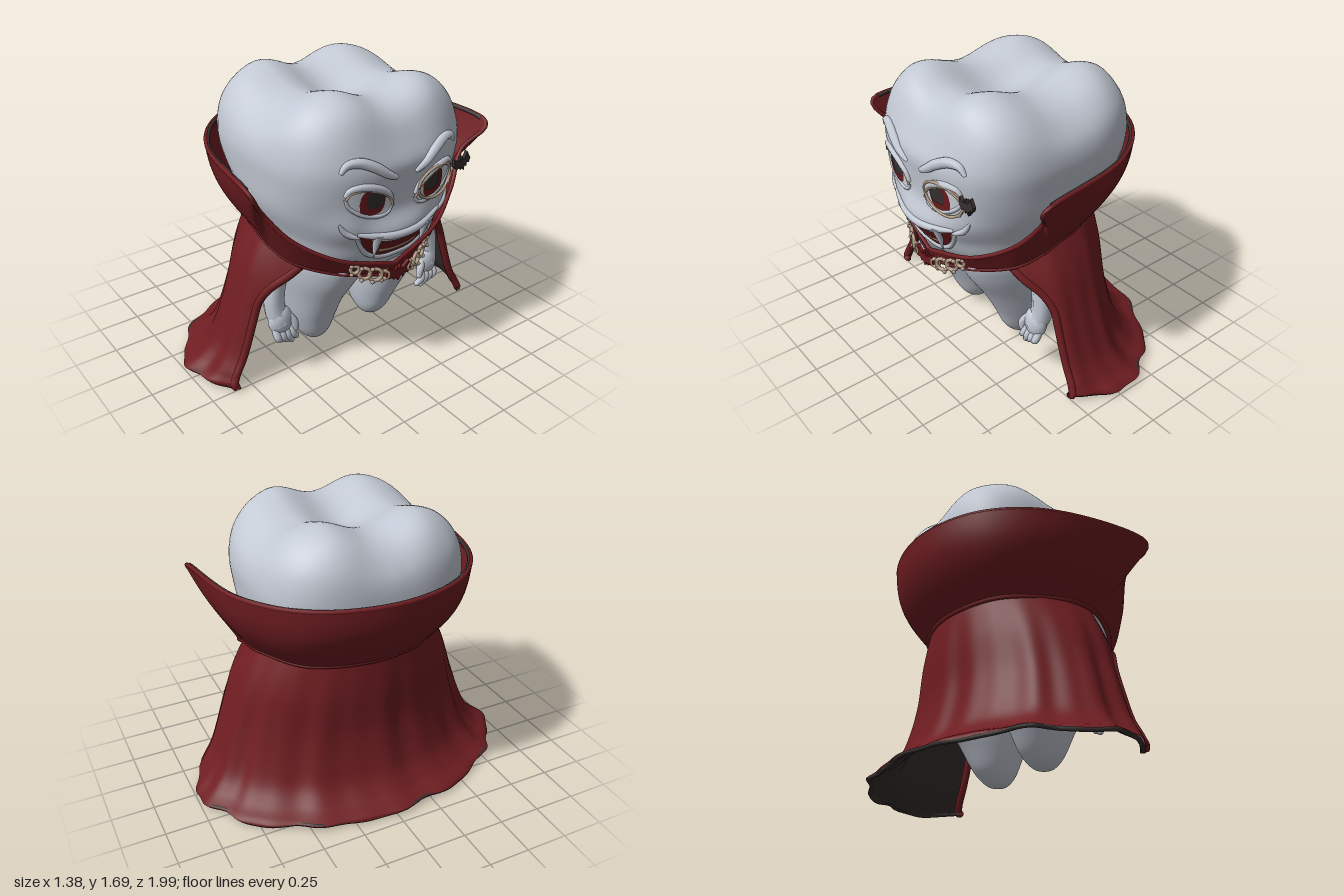
import * as THREE from 'three';

const mat = (name, color, side = THREE.FrontSide) => new THREE.MeshStandardMaterial({ name, color, side });
const D = THREE.DoubleSide;
const V = (x, y, z) => new THREE.Vector3(x, y, z);
const smooth = THREE.MathUtils.smoothstep;

// Catmull-Rom through rows of numbers, t in 0..1
function rowAt(rows, t) {
  const n = rows.length - 1, k = Math.min(Math.floor(t * n), n - 1), f = t * n - k;
  const g = i => rows[Math.max(0, Math.min(n, i))];
  const [a, b, c, d] = [g(k - 1), g(k), g(k + 1), g(k + 2)];
  return b.map((_, i) => b[i] + 0.5 * f * (c[i] - a[i] + f * (2 * a[i] - 5 * b[i] + 4 * c[i] - d[i]
    + f * (3 * (b[i] - c[i]) + d[i] - a[i]))));
}

// Surface from a rule f(u, v) -> [x, y, z]
function grid(nu, nv, f, closed = false) {
  const pos = [], idx = [], cols = closed ? nu : nu + 1;
  for (let j = 0; j <= nv; j++) for (let i = 0; i < cols; i++) pos.push(...f(i / nu, j / nv));
  for (let j = 0; j < nv; j++) for (let i = 0; i < nu; i++) {
    const a = j * cols + i, b = j * cols + (i + 1) % cols, c = a + cols, d = b + cols;
    idx.push(a, c, b, b, c, d);
  }
  const g = new THREE.BufferGeometry();
  g.setAttribute('position', new THREE.Float32BufferAttribute(pos, 3));
  g.setIndex(idx);
  g.computeVertexNormals();
  return g;
}

// Tooth cross-sections: y, centre x, centre z, radius x, radius z, squareness
const BODY = [
  [.49, .05, 0, 0, 0, 2.2], [.51, .05, 0, .14, .2, 2.2], [.56, .06, 0, .27, .34, 2.2], [.66, .09, 0, .4, .43, 2.2],
  [.78, .1, 0, .475, .475, 2.3], [.9, .1, 0, .50, .51, 2.3], [1.05, .08, 0, .54, .57, 2.5], [1.2, .045, 0, .59, .592, 2.9],
  [1.35, .035, 0, .592, .6, 3.1], [1.5, .03, 0, .565, .568, 3.1], [1.62, .035, 0, .505, .485, 2.9],
  [1.685, .04, 0, .41, .37, 2.7], [1.71, .04, 0, .24, .2, 2.5], [1.713, .04, 0, 0, 0, 2.5]];
const ROOT = [
  [.04, .1, .22, 0, 0, 2], [.05, .1, .22, .06, .055, 2], [.12, .09, .225, .13, .105, 2], [.25, .08, .235, .2, .145, 2],
  [.42, .07, .245, .3, .175, 2], [.6, .07, .235, .41, .22, 2.1], [.74, .08, .22, .44, .235, 2.2], [.85, .08, .2, .38, .2, 2], [.88, .08, .2, 0, 0, 2]];

const gauss = (a, w) => Math.exp(-(a / w) * (a / w));
const muzzle = (y, z) => .06 * gauss(y - .95, .09) * gauss(z, .28) + .025 * gauss(y - 1.02, .1) * gauss(Math.abs(z) - .33, .1)
  + .02 * gauss(y - 1.33, .1) * gauss(z, .4);
const dip = (a, w) => Math.abs(a) < w ? .045 * (1 + Math.cos(Math.PI * a / w)) : 0;

function loft(rows, s, nv, rule) {
  return grid(72, nv, (u, v) => {
    const [y, cx, cz, rx, rz, n] = rowAt(rows, v), a = u * Math.PI * 2;
    const pw = c => Math.sign(c) * Math.abs(c) ** (2 / n);
    const p = [cx + Math.max(rx, 0) * pw(Math.cos(a)), y, s * cz + Math.max(rz, 0) * pw(Math.sin(a))];
    return rule ? rule(p, Math.cos(a)) : p;
  }, true);
}

// Point on the face at (z, y), lifted by off
function face(z, y, off = 0) {
  let lo = 0, hi = 1;
  for (let i = 0; i < 24; i++) { const m = (lo + hi) / 2; if (rowAt(BODY, m)[0] < y) lo = m; else hi = m; }
  const [, cx, , rx, rz, n] = rowAt(BODY, lo);
  return [cx + rx * Math.max(0, 1 - Math.abs(z / rz) ** n) ** (1 / n) + muzzle(y, z) + off, y, z];
}

// Thin painted patch on the face between two curves, u in -1..1
const patch = (z0, w, low, high, off) => grid(32, 10, (u, v) => {
  const k = u * 2 - 1, a = low(k), b = high(k);
  return face(z0 + k * w, a + (b - a) * v, off);
});

// Tube that can narrow towards its ends
function tube(pts, r, taper = 0) {
  const c = new THREE.CatmullRomCurve3(pts), n = 40, g = new THREE.TubeGeometry(c, n, r, 8), p = g.attributes.position;
  for (let i = 0; i < p.count; i++) {
    const t = Math.floor(i / 9) / n, o = c.getPointAt(t), k = 1 - taper * (1 - Math.sin(Math.PI * t) ** .6);
    p.setXYZ(i, o.x + (p.getX(i) - o.x) * k, o.y + (p.getY(i) - o.y) * k, o.z + (p.getZ(i) - o.z) * k);
  }
  return g;
}

// Bat outline facing +x
function batGeometry(w, h) {
  const half = [[.05, .25], [.14, .42], [.2, .2], [.4, .25], [.8, .5], [1, .05], [.75, -.15], [.5, -.08], [.35, -.28], [.18, -.15], [0, -.4]];
  const left = half.slice(0, -1).reverse().map(([x, y]) => [-x, y]);
  const s = new THREE.Shape([...half, ...left].map(([x, y]) => new THREE.Vector2(x * w, y * h)));
  return new THREE.ExtrudeGeometry(s, { depth: .02, bevelEnabled: false }).rotateY(Math.PI / 2);
}

export function createModel() {
  const root = new THREE.Group();
  const enamel = mat('enamel', 0xc3c9d4), red = mat('cape red', 0x6f1d21, D), lining = mat('dark lining', 0x383030, D);
  const gold = mat('antique gold', 0xb39c86), white = mat('eye white', 0xccd0d8), iris = mat('iris red', 0x6e1a1c);
  const mouthRed = mat('mouth red', 0x64181b);
  const add = (name, geo, m, parent = root) => {
    const o = new THREE.Mesh(geo, m); o.name = name; parent.add(o); return o;
  };
  const onFace = (pts, off = 0) => pts.map(([z, y]) => V(...face(z, y, off)));

  // Tooth body with four cusps, and two roots
  add('toothBody', loft(BODY, 1, 110, ([x, y, z], c) => {
    const k = smooth(y, 1.25, 1.66);
    return [x + (c > 0 ? muzzle(y, z) * Math.min(1, c * 3) : 0), y - k * (dip(z, .3) + dip(x - .05, .36)), z];
  }), enamel);
  for (const s of [1, -1]) add('toothRoot', loft(ROOT, s, 50), enamel);

  // Face, each side
  for (const s of [1, -1]) {
    const zc = s * .215, tilt = k => s * k * .045;
    const bow = k => Math.sqrt(Math.max(0, 1 - k * k));
    const top = k => 1.165 + tilt(k) + .075 * bow(k), bottom = k => 1.165 + tilt(k) - .085 * bow(k);
    add('eyeWhite', patch(zc, .135, bottom, top, .005), white);
    const round = (y, r, e) => [k => y - r * (1 - k ** 4) ** e, k => y + r * (1 - k ** 4) ** e];
    add('iris', patch(s * .205, .076, ...round(1.158, .076, .5), .009), iris);
    add('pupil', patch(s * .19, .056, ...round(1.176, .056, .5), .013), lining);
    const ring = (f, o) => [-1, -.85, -.5, 0, .5, .85, 1].map(k => [zc + k * .138, f(k) + o]);
    add('upperLid', tube(onFace(ring(top, .006)), .022, .5), enamel);
    add('lowerLid', tube(onFace(ring(bottom, -.006)), .014, .5), enamel);
    add('eyeRim', tube(onFace(ring(top, -.012), .01), .007), gold);
    add('brow', tube(onFace([[.38, 1.345], [.345, 1.385], [.28, 1.39], [.2, 1.355], [.13, 1.305], [.06, 1.265]]
      .map(([z, y]) => [s * z, y])), .03, .7), enamel);
    add('smileCrease', tube(onFace([[.37, 1.05], [.34, 1.0], [.3, .97], [.26, .95]].map(([z, y]) => [s * z, y])), .018, .8), enamel);
    const fang = add('fang', new THREE.ConeGeometry(.034, .17, 16).rotateX(Math.PI), enamel);
    fang.position.set(...face(s * .165, .875, .012));
    fang.rotation.z = -.2;
  }

  // Mouth
  const lipTop = k => .925 + .04 * k * k, lipLow = k => .785 + .18 * Math.abs(k) ** 3.4;
  add('mouth', patch(0, .27, lipLow, lipTop, .005), mouthRed);
  add('upperTeeth', patch(0, .2, k => .893 + .035 * k * k, k => .928 + .018 * k * k, .009), white);
  add('lowerTeeth', patch(0, .13, k => .808 + .015 * k * k, k => .828 + .015 * k * k, .009), gold);
  const lip = f => [-1, -.7, -.35, 0, .35, .7, 1].map(k => [k * .28, f(k)]);
  add('upperLip', tube(onFace(lip(k => lipTop(k) + .012)), .024, .6), enamel);
  add('lowerLip', tube(onFace(lip(k => lipLow(k) - .012)), .018, .6), enamel);

  // Monocle with a small bat charm
  const loop = [];
  for (let i = 0; i <= 16; i++) {
    const a = i / 16 * Math.PI * 2;
    loop.push([-.225 + .135 * Math.cos(a), 1.16 + .095 * Math.sin(a)]);
  }
  add('monocle', tube(onFace(loop, .014), .008), gold);
  add('charmChain', tube(onFace([[-.34, 1.1], [-.365, 1.15], [-.39, 1.18]], .02), .008), gold);
  const charm = add('batCharm', batGeometry(.06, .11), lining);
  charm.position.set(.6, 1.2, -.43);
  charm.rotation.x = .3;

  // Arms and hands
  for (const s of [1, -1]) {
    const arm = new THREE.Group(); arm.name = 'arm'; root.add(arm);
    const m = (x, y, z) => V(x, y, s * z);
    add('upperArm', tube([m(.2, .82, .44), m(.22, .7, .515), m(.22, .55, .56), m(.23, .42, .565), m(.25, .34, .545)], .062), enamel, arm);
    const palm = add('palm', new THREE.SphereGeometry(1, 20, 14), enamel, arm);
    palm.scale.set(.055, .095, .075); palm.position.copy(m(.25, .36, .545));
    for (let i = 0; i < 4; i++) {
      const z = .59 - i * .032, y = .215 + Math.abs(i - 2) * .014;
      add('finger', tube([m(.25, .34, z), m(.285, .27, z - .005), m(.275, y, z - .035)], .023, .35), enamel, arm);
      const tip = add('fingerTip', new THREE.SphereGeometry(.019, 10, 8), enamel, arm);
      tip.position.copy(m(.276, y + .003, z - .034));
    }
    add('thumb', tube([m(.26, .4, .51), m(.285, .34, .475), m(.285, .28, .465)], .024, .4), enamel, arm);
  }

  // Cape skirt: rows from the shoulders to the hem hold y, centre x, radius x, radius z
  const CAPE = [[.93, .08, .49, .555], [.71, .08, .505, .665], [.44, .075, .505, .75], [.2, .06, .55, .835],
    [.09, .045, .62, .91], [.04, .03, .7, .98], [.025, .03, .715, 1.0]];
  const cape = inset => (u, v) => {
    const [y, cx, rx, rz] = rowAt(CAPE, v);
    const a = (u * 2 - 1) * (1.88 + .36 * (1 - smooth(v, 0, .3))), side = Math.abs(a);
    const fold = 1 + .012 * (Math.cos(a * 14) + .6 * Math.sin(a * 23)) * Math.min(1, v * 3) - inset;
    const drop = .12 * smooth(side, 1.7, 2.24) * (1 - v) ** 1.5;
    const corner = 1 - .1 * smooth(side, 1.5, 1.9) * smooth(v, .55, 1);
    const ripple = .01 * Math.sin(a * 9) * Math.max(0, v - .8) * 5;
    return [cx - rx * fold * Math.cos(a), y - drop + ripple - inset * .2, rz * fold * corner * Math.sin(a)];
  };
  add('capeOuter', grid(200, 50, cape(0)), red);
  add('capeLining', grid(200, 50, cape(.035)), lining);
  const trace = (f, from = 0, to = 1) => Array.from({ length: 61 }, (_, i) => V(...f(from + (to - from) * i / 60)));
  const edge = (name, pts, r, m) => add(name, new THREE.TubeGeometry(new THREE.CatmullRomCurve3(pts), 160, r, 8), m);
  for (const u of [0, 1]) edge('capeFrontEdge', trace(t => cape(.018)(u, t)), .024, red);
  edge('capeHem', trace(t => cape(.02)(t, 1)), .012, lining);

  // Standing collar, running round to the throat
  const LOW = [[-.42, .9, 0], [-.32, .9, .37], [-.06, .9, .55], [.12, .89, .595], [.25, .84, .585], [.38, .765, .5], [.5, .685, .28], [.57, .625, 0]];
  const HIGH = [[-.64, 1.34, 0], [-.51, 1.335, .45], [-.15, 1.325, .73], [.41, 1.3, .815], [.35, 1.12, .7], [.43, .94, .56], [.54, .8, .33], [.59, .7, 0]];
  const both = half => [...half.slice(1).reverse().map(([x, y, z]) => [x, y, -z]), ...half];
  const low = both(LOW), high = both(HIGH);
  const collar = off => (u, v) => {
    const a = rowAt(low, u), b = rowAt(high, u), back = Math.max(0, 1 - (Math.abs(u - .5) * 3.5) ** 2);
    const p = a.map((q, i) => q + (b[i] - q) * v), len = Math.hypot(p[0] - .1, p[2]);
    const out = .06 * Math.sin(Math.PI * v) * back - off;
    return [p[0] + out * (p[0] - .1) / len, p[1], p[2] + out * p[2] / len];
  };
  add('collarOuter', grid(140, 20, collar(0)), red);
  add('collarInner', grid(140, 20, collar(.02)), red);
  edge('collarRim', trace(t => collar(.01)(t, 1)), .012, red);
  edge('collarPiping', trace(t => collar(.02)(t, 1), .29, .71), .011, lining);
  edge('collarSeam', trace(t => collar(.005)(t, 0)), .013, red);

  // Throat clasp: scrolls either side of a bat
  const clasp = new THREE.Group(); clasp.name = 'clasp'; root.add(clasp);
  for (const s of [1, -1]) {
    [[.605, .67, .09, .024], [.595, .685, .145, .036], [.57, .7, .2, .032], [.545, .73, .25, .022]].forEach(([x, y, z, r]) => {
      const scroll = add('scroll', new THREE.TorusGeometry(r, .011, 8, 20).rotateY(Math.PI / 2), gold, clasp);
      scroll.position.set(x, y, s * z);
      scroll.rotation.y = -s * .45;
      for (const k of [1, -1]) {
        const bead = add('bead', new THREE.SphereGeometry(.012, 10, 8), gold, clasp);
        bead.position.set(x, y + k * (r + .004), s * (z + .02));
      }
    });
  }
  const badge = add('batBadge', batGeometry(.09, .12), iris, clasp);
  badge.position.set(.6, .655, 0);
  return root;
}
